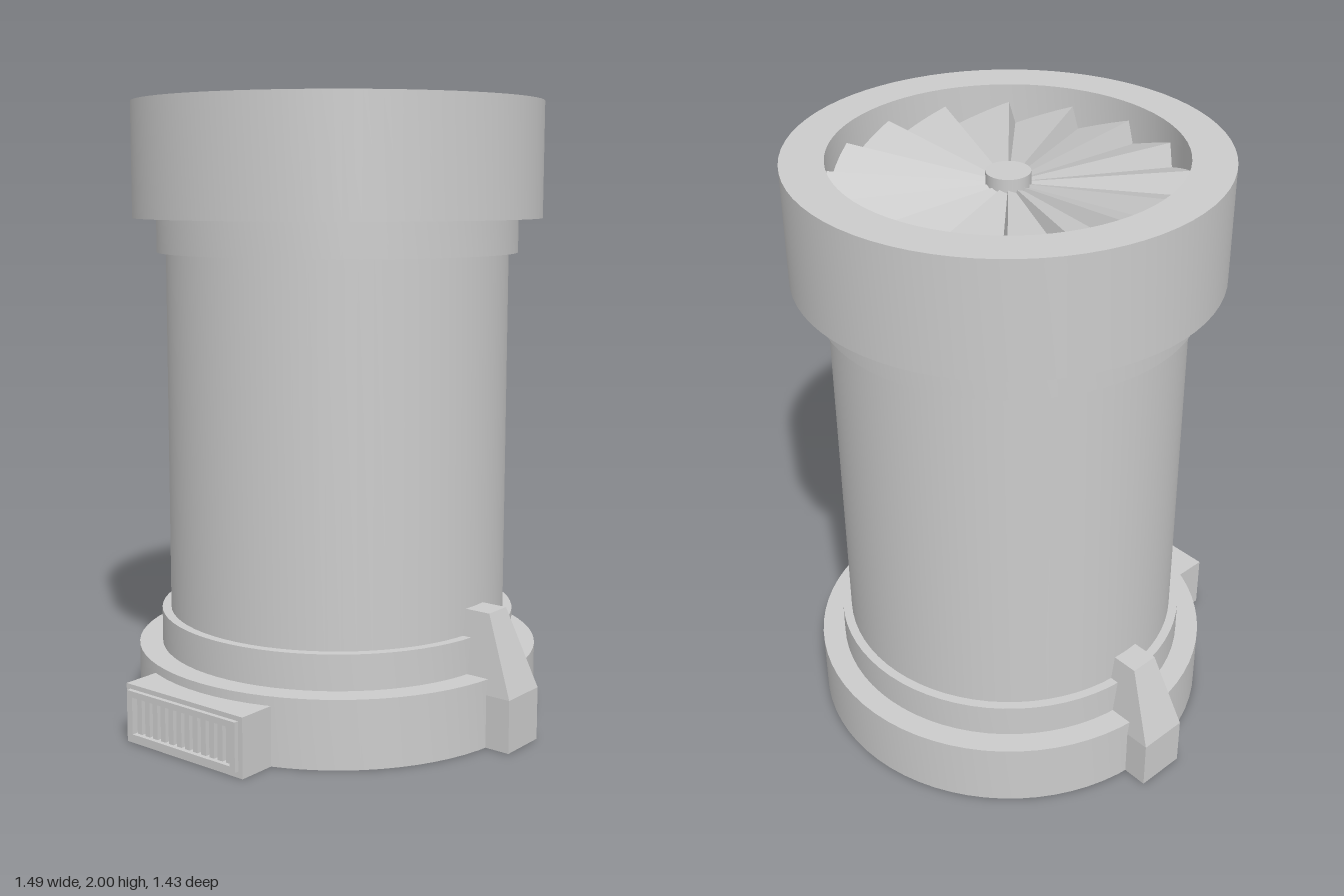
import * as THREE from 'three';
import { toCreasedNormals } from 'three/addons/utils/BufferGeometryUtils.js';

const AXIS_Z = -0.047; // vertical axis of the drum
const RIM = 0.535;     // radius of the fan opening

const material = new THREE.MeshStandardMaterial({ color: 0xcccccc });

function add(parent, name, geometry, x = 0, y = 0, z = 0) {
  const mesh = new THREE.Mesh(geometry, material);
  mesh.name = name;
  mesh.position.set(x, y, z);
  parent.add(mesh);
  return mesh;
}

// Revolved part with crisp profile edges
function lathe(points) {
  const geometry = new THREE.LatheGeometry(points.map(([r, y]) => new THREE.Vector2(r, y)), 72);
  return toCreasedNormals(geometry, 0.6);
}

// Flat-shaded geometry from quads of Vector3 corners (counter-clockwise from outside)
function quads(list) {
  const pos = [];
  for (const [a, b, c, d] of list)
    for (const p of [a, b, c, a, c, d]) pos.push(p.x, p.y, p.z);
  const geometry = new THREE.BufferGeometry();
  geometry.setAttribute('position', new THREE.Float32BufferAttribute(pos, 3));
  geometry.computeVertexNormals();
  return geometry;
}

// Sawtooth ring of overlapping blades, steeper towards the rim
function fanBlades(count) {
  const step = (Math.PI * 2) / count, lip = 0.038, r0 = 0.05, r1 = RIM + 0.01;
  const at = (r, angle, side) => new THREE.Vector3(
    r * Math.cos(angle), 1.905 + (side * 0.036 * r) / RIM, r * Math.sin(angle));
  const list = [];
  for (let i = 0; i < count; i++) {
    const a = i * step, b = a + step - lip, c = a + step;
    list.push([at(r0, a, -1), at(r0, b, 1), at(r1, b, 1), at(r1, a, -1)]);
    list.push([at(r0, b, 1), at(r0, c, -1), at(r1, c, -1), at(r1, b, 1)]);
  }
  return quads(list);
}

// Side foot: straight below, tapering inwards above
function footGeometry() {
  const levels = [[0, 0.745, 0.083], [0.17, 0.745, 0.083], [0.42, 0.645, 0.048]];
  const rings = levels.map(([y, x, w]) => [
    new THREE.Vector3(x, y, w), new THREE.Vector3(x, y, -w),
    new THREE.Vector3(0.52, y, -w), new THREE.Vector3(0.52, y, w)]);
  const list = [[...rings[0]].reverse(), rings[2]];
  for (let i = 0; i < 2; i++)
    for (let k = 0; k < 4; k++) {
      const n = (k + 1) % 4;
      list.push([rings[i][k], rings[i][n], rings[i + 1][n], rings[i + 1][k]]);
    }
  return quads(list);
}

// Rectangular plate with the vent opening cut through it
function ventPlate(halfWidth, y0, y1, depth) {
  const rect = (shape, w, a, b) =>
    shape.moveTo(-w, a).lineTo(w, a).lineTo(w, b).lineTo(-w, b).closePath();
  const shape = rect(new THREE.Shape(), halfWidth, y0, y1);
  shape.holes.push(rect(new THREE.Path(), 0.206, 0.035, 0.155));
  return new THREE.ExtrudeGeometry(shape, { depth, bevelEnabled: false });
}

export function createModel() {
  const model = new THREE.Group();
  model.name = 'ventilatorDrum';

  const drum = new THREE.Group();
  drum.name = 'drum';
  drum.position.z = AXIS_Z;
  model.add(drum);

  // Base, collars and barrel
  add(drum, 'base', lathe([[0, 0], [0.667, 0], [0.667, 0.22], [0.5, 0.22]]));
  add(drum, 'lowerCollar', lathe([[0.59, 0.2], [0.59, 0.335], [0.5, 0.335]]));
  add(drum, 'barrel', lathe([[0.56, 0.3], [0.56, 1.55]]));
  add(drum, 'upperCollar', lathe([[0.5, 1.52], [0.59, 1.52], [0.59, 1.65]]));

  // Top ring with a recessed floor
  add(drum, 'topRing', lathe([[0.5, 1.63], [0.667, 1.63], [0.667, 2], [RIM, 2], [RIM, 1.84], [0, 1.84]]));

  // Fan
  add(drum, 'fanBlades', fanBlades(16));
  add(drum, 'fanHub', new THREE.CylinderGeometry(0.068, 0.068, 0.05, 32), 0, 1.918, 0);

  // Mirrored side feet
  const foot = footGeometry();
  add(drum, 'leftFoot', foot);
  add(drum, 'rightFoot', foot).rotation.y = Math.PI;

  // Front vent: housing, raised frame, back panel and upright slats
  const vent = new THREE.Group();
  vent.name = 'frontVent';
  model.add(vent);
  add(vent, 'ventHousing', ventPlate(0.245, 0, 0.19, 0.22), 0, 0, 0.48);
  add(vent, 'ventFrame', ventPlate(0.228, 0.02, 0.175, 0.02), 0, 0, 0.695);
  add(vent, 'ventBack', new THREE.BoxGeometry(0.42, 0.13, 0.02), 0, 0.095, 0.66);
  const slats = 12, pitch = 0.412 / slats;
  for (let i = 0; i < slats; i++)
    add(vent, 'ventSlat', new THREE.BoxGeometry(0.02, 0.122, 0.035),
      (i - (slats - 1) / 2) * pitch, 0.095, 0.6825);

  return model;
}
